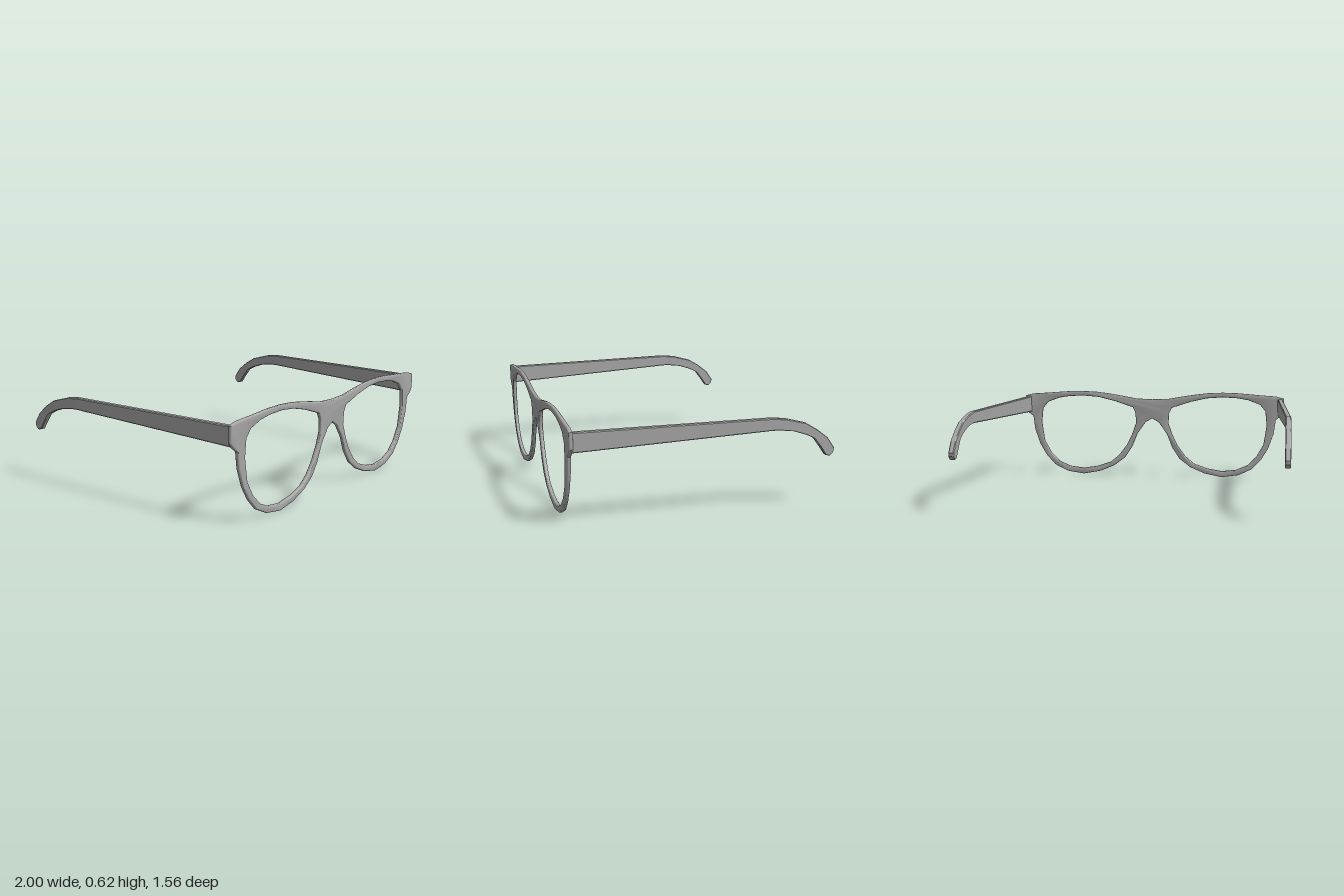
import * as THREE from 'three';
import { toCreasedNormals } from 'three/addons/utils/BufferGeometryUtils.js';

// right half of the front outline (x, y), from top centre round to bottom centre
const OUTLINE = [
  [0, 0.565], [0.12, 0.57], [0.22, 0.588], [0.32, 0.604], [0.41, 0.615], [0.515, 0.62], [0.62, 0.618],
  [0.78, 0.605], [0.9, 0.597], [0.957, 0.582], [0.957, 0.485], [0.935, 0.455], [0.9, 0.428],
  [0.888, 0.33], [0.85, 0.22], [0.8, 0.135], [0.735, 0.065], [0.64, 0.018], [0.515, 0],
  [0.39, 0.024], [0.285, 0.068], [0.205, 0.128], [0.15, 0.21], [0.11, 0.31], [0.05, 0.396], [0, 0.425],
];

// lens opening on the +x side
const OPENING = [
  [0.515, 0.587], [0.4, 0.578], [0.28, 0.55], [0.145, 0.505], [0.125, 0.465], [0.12, 0.39],
  [0.15, 0.305], [0.19, 0.225], [0.245, 0.15], [0.31, 0.095], [0.41, 0.06], [0.515, 0.043],
  [0.62, 0.055], [0.7, 0.09], [0.765, 0.155], [0.815, 0.245], [0.836, 0.385], [0.825, 0.49],
  [0.785, 0.537], [0.7, 0.569], [0.62, 0.582],
];

// temple stations: top z, top y, bottom z, bottom y, centre x
const STATIONS = [
  [0.762, 0.577, 0.762, 0.461, 0.928],
  [-0.34, 0.577, -0.34, 0.502, 0.98],
  [-0.39, 0.577, -0.38, 0.504, 0.982],
  [-0.477, 0.566, -0.43, 0.503, 0.983],
  [-0.6, 0.532, -0.52, 0.491, 0.983],
  [-0.67, 0.49, -0.603, 0.463, 0.983],
  [-0.74, 0.435, -0.653, 0.438, 0.983],
  [-0.775, 0.385, -0.695, 0.383, 0.983],
  [-0.784, 0.37, -0.73, 0.331, 0.983],
  [-0.78, 0.347, -0.755, 0.324, 0.983],
];

const points = (list, side = 1) => list.map(([x, y]) => new THREE.Vector2(side * x, y));

// front frame: one rounded plate with two openings, outline anticlockwise
function frameGeometry() {
  const rightHalf = points(OUTLINE).slice(1, -1).reverse();
  const shape = new THREE.Shape([...points(OUTLINE, -1), ...rightHalf]);
  for (const side of [1, -1]) shape.holes.push(new THREE.Path(points(OPENING, side)));
  const bevel = 0.007;
  const geometry = new THREE.ExtrudeGeometry(shape, {
    depth: 0.01, bevelEnabled: true, bevelThickness: bevel, bevelSize: bevel,
    bevelOffset: -bevel, bevelSegments: 3,
  });
  geometry.translate(0, 0, 0.763);
  return toCreasedNormals(geometry, 0.6);
}

// temple arm: chamfered rectangle lofted along the stations
function templeGeometry(side) {
  const half = 0.017, chamfer = 0.005;
  const positions = [], index = [], n = 8;
  for (const [zt, yt, zb, yb, x] of STATIONS) {
    const c = Math.min(0.3, chamfer / Math.hypot(zt - zb, yt - yb));
    const inner = half - chamfer;
    // (x offset, fraction from bottom to top)
    const ring = [[inner, 0], [half, c], [half, 1 - c], [inner, 1],
      [-inner, 1], [-half, 1 - c], [-half, c], [-inner, 0]];
    for (const [dx, t] of ring) {
      positions.push(side * (x + dx), yb + (yt - yb) * t, zb + (zt - zb) * t);
    }
  }
  const triangle = (a, b, c) => (side > 0 ? index.push(a, b, c) : index.push(a, c, b));
  for (let s = 0; s < STATIONS.length - 1; s++) {
    for (let i = 0; i < n; i++) {
      const a = s * n + i, b = s * n + (i + 1) % n;
      triangle(a, a + n, b);
      triangle(b, a + n, b + n);
    }
  }
  const last = (STATIONS.length - 1) * n;
  for (let i = 1; i < n - 1; i++) {
    triangle(0, i, i + 1);
    triangle(last, last + i + 1, last + i);
  }
  const geometry = new THREE.BufferGeometry();
  geometry.setAttribute('position', new THREE.Float32BufferAttribute(positions, 3));
  geometry.setIndex(index);
  return toCreasedNormals(geometry, 0.6);
}

export function createModel() {
  const group = new THREE.Group();
  group.name = 'eyeglasses';
  const grey = new THREE.MeshStandardMaterial({ color: 0xa6a6a6 });
  grey.name = 'grey plastic';

  const add = (name, geometry) => {
    const mesh = new THREE.Mesh(geometry, grey);
    mesh.name = name;
    group.add(mesh);
  };
  add('frontFrame', frameGeometry());
  add('leftTemple', templeGeometry(1));
  add('rightTemple', templeGeometry(-1));
  return group;
}
